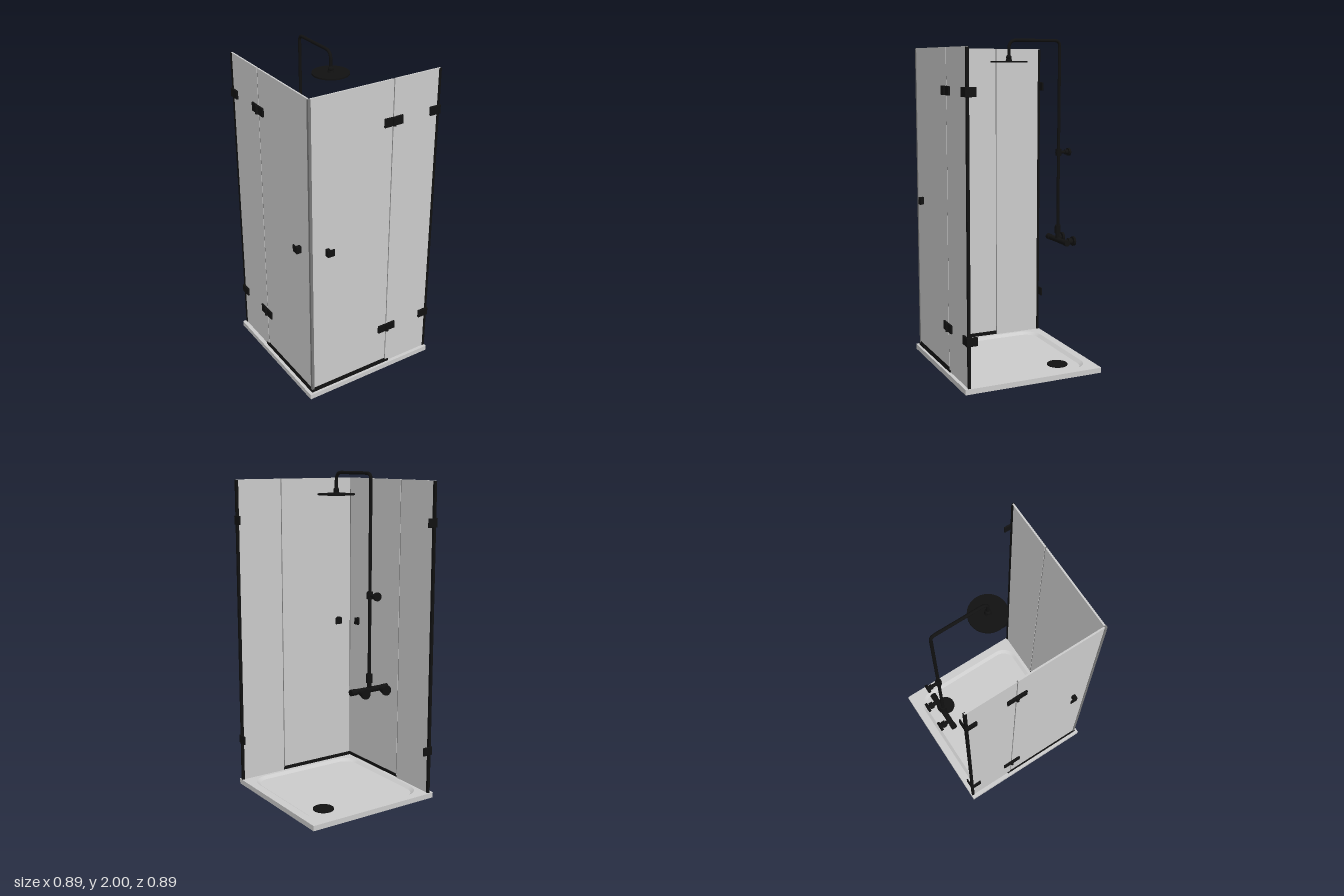
import * as THREE from 'three';
import { RoundedBoxGeometry } from 'three/addons/geometries/RoundedBoxGeometry.js';

const grey = new THREE.MeshStandardMaterial({ color: 0xcccccc, side: THREE.DoubleSide });
const black = new THREE.MeshStandardMaterial({ color: 0x111111 });
const sealGrey = new THREE.MeshStandardMaterial({ color: 0x777777 });

function add(parent, name, geometry, material = black) {
  const mesh = new THREE.Mesh(geometry, material);
  mesh.name = name;
  parent.add(mesh);
  return mesh;
}

// Box given by its extents, optionally with rounded edges
function box(parent, name, [x0, x1], [y0, y1], [z0, z1], material = black, radius = 0) {
  const size = [x1 - x0, y1 - y0, z1 - z0];
  const geometry = radius ? new RoundedBoxGeometry(...size, 2, radius) : new THREE.BoxGeometry(...size);
  const mesh = add(parent, name, geometry, material);
  mesh.position.set((x0 + x1) / 2, (y0 + y1) / 2, (z0 + z1) / 2);
  return mesh;
}

// Cylinder between two points
function rod(parent, name, a, b, radius, radiusEnd = radius) {
  const from = new THREE.Vector3(...a), to = new THREE.Vector3(...b);
  const dir = to.clone().sub(from);
  const mesh = add(parent, name, new THREE.CylinderGeometry(radiusEnd, radius, dir.length(), 32));
  mesh.position.copy(from).add(to).multiplyScalar(0.5);
  mesh.quaternion.setFromUnitVectors(new THREE.Vector3(0, 1, 0), dir.normalize());
  return mesh;
}

// Rounded square outline of half-width h
function outline(h, r, PathType = THREE.Shape) {
  const s = new PathType();
  s.moveTo(h, -h + r);
  s.lineTo(h, h - r);
  s.absarc(h - r, h - r, r, 0, Math.PI / 2);
  s.lineTo(-h + r, h);
  s.absarc(-h + r, h - r, r, Math.PI / 2, Math.PI);
  s.lineTo(-h, -h + r);
  s.absarc(-h + r, -h + r, r, Math.PI, Math.PI * 1.5);
  s.lineTo(h - r, -h);
  s.absarc(h - r, -h + r, r, Math.PI * 1.5, Math.PI * 2);
  return s;
}

// Surface between two matching outlines at different heights
function loft(lower, yLower, upper, yUpper) {
  const positions = [], index = [];
  lower.forEach((p, i) => {
    positions.push(p.x, yLower, -p.y, upper[i].x, yUpper, -upper[i].y);
    if (i < lower.length - 1) {
      const k = i * 2;
      index.push(k, k + 1, k + 2, k + 1, k + 3, k + 2);
    }
  });
  const g = new THREE.BufferGeometry();
  g.setAttribute('position', new THREE.Float32BufferAttribute(positions, 3));
  g.setIndex(index);
  g.computeVertexNormals();
  return g;
}

// Tray: hollow below, with a sloped, rounded basin
function makeTray() {
  const tray = new THREE.Group();
  tray.name = 'tray';
  tray.position.set(0.002, 0, -0.006);
  const H = 0.442, top = 0.033, floorY = 0.017;

  const skirt = outline(H, 0.003);
  skirt.holes.push(outline(H - 0.008, 0.003, THREE.Path));
  const skirtMesh = add(tray, 'traySkirt',
    new THREE.ExtrudeGeometry(skirt, { depth: top - 0.001, bevelEnabled: false }), grey);
  skirtMesh.rotation.x = -Math.PI / 2;

  const rim = outline(H, 0.003);
  rim.holes.push(outline(0.39, 0.11, THREE.Path));
  const rimMesh = add(tray, 'trayRim', new THREE.ShapeGeometry(rim), grey);
  rimMesh.rotation.x = -Math.PI / 2;
  rimMesh.position.y = top;

  const inner = outline(0.368, 0.088);
  add(tray, 'basinSlope', loft(inner.getPoints(12), floorY, outline(0.39, 0.11).getPoints(12), top), grey);
  const floor = add(tray, 'basinFloor', new THREE.ShapeGeometry(inner), grey);
  floor.rotation.x = -Math.PI / 2;
  floor.position.y = floorY;

  rod(tray, 'drainCover', [0.245, 0.012, -0.244], [0.245, 0.023, -0.244], 0.063);
  return tray;
}

// One glass wall facing +z: hinged door, fixed pane and fittings
function makeScreen(name) {
  const g = new THREE.Group();
  g.name = name;
  const glassZ = [0.405, 0.415];
  box(g, 'doorGlass', [-0.403, 0.122], [0.05, 1.945], glassZ, grey);
  box(g, 'fixedGlass', [0.128, 0.437], [0.033, 1.945], glassZ, grey);
  box(g, 'seamSeal', [0.122, 0.128], [0.05, 1.944], [0.407, 0.413], sealGrey);
  box(g, 'wallProfile', [0.426, 0.442], [0.033, 1.943], [0.402, 0.418]);
  box(g, 'threshold', [-0.421, 0.15], [0.033, 0.046], [0.412, 0.421]);
  box(g, 'dripSeal', [-0.41, 0.122], [0.045, 0.06], [0.399, 0.417]);

  for (const y of [0.308, 1.702]) {
    const h = [y - 0.027, y + 0.027];
    // Glass-to-glass hinge
    box(g, 'hingePlate', [0.062, 0.112], h, [0.415, 0.427], black, 0.004);
    box(g, 'hingePlate', [0.138, 0.187], h, [0.415, 0.427], black, 0.004);
    box(g, 'hingeBridge', [0.105, 0.145], [y - 0.024, y + 0.024], [0.415, 0.426]);
    rod(g, 'hingePin', [0.125, y - 0.026, 0.427], [0.125, y + 0.026, 0.427], 0.01);
    // Glass-to-wall bracket
    box(g, 'bracketPlate', [0.373, 0.446], h, [0.414, 0.427], black, 0.004);
    box(g, 'bracketWallPlate', [0.437, 0.446], h, [0.36, 0.427], black, 0.003);
  }

  // Knob: stem through the glass with a plate on each side
  const ky = [0.983, 1.028];
  box(g, 'knobStem', [-0.318, -0.295], ky, [0.378, 0.444], black, 0.003);
  for (const z of [0.376, 0.438]) box(g, 'knobPlate', [-0.318, -0.271], ky, [z, z + 0.008], black, 0.003);
  return g;
}

// Riser pipe, overhead rose and thermostatic bar
function makeShower() {
  const g = new THREE.Group();
  g.name = 'shower';
  const X = 0.005, Z = -0.371, headZ = -0.03, wall = -0.448, top = 1.99, r = 0.035;
  const v = (y, z) => new THREE.Vector3(X, y, z);

  const pipe = new THREE.CurvePath();
  pipe.add(new THREE.LineCurve3(v(0.75, Z), v(top - r, Z)));
  pipe.add(new THREE.QuadraticBezierCurve3(v(top - r, Z), v(top, Z), v(top, Z + r)));
  pipe.add(new THREE.LineCurve3(v(top, Z + r), v(top, headZ - 0.05)));
  pipe.add(new THREE.QuadraticBezierCurve3(v(top, headZ - 0.05), v(top, headZ), v(top - 0.05, headZ)));
  pipe.add(new THREE.LineCurve3(v(top - 0.05, headZ), v(1.87, headZ)));
  add(g, 'riserPipe', new THREE.TubeGeometry(pipe, 240, 0.0095, 16, false));

  // Overhead rose
  rod(g, 'roseDisc', [X, 1.858, headZ], [X, 1.867, headZ], 0.11);
  rod(g, 'roseCollar', [X, 1.867, headZ], [X, 1.88, headZ], 0.02, 0.016);
  add(g, 'roseJoint', new THREE.SphereGeometry(0.017, 24, 16)).position.set(X, 1.888, headZ);

  // Wall holder
  rod(g, 'holderFlange', [X, 1.305, wall], [X, 1.305, wall + 0.014], 0.025);
  rod(g, 'holderNut', [X, 1.305, wall + 0.014], [X, 1.305, wall + 0.035], 0.015);
  rod(g, 'holderStem', [X, 1.305, wall + 0.03], [X, 1.305, Z + 0.018], 0.01);
  rod(g, 'holderClamp', [X, 1.284, Z], [X, 1.326, Z], 0.018);

  // Thermostatic bar with end knobs
  const barY = 0.747;
  rod(g, 'mixerBar', [-0.095, barY, Z], [0.107, barY, Z], 0.017);
  rod(g, 'flowKnob', [-0.125, barY, Z], [-0.092, barY, Z], 0.019);
  rod(g, 'temperatureKnob', [0.104, barY, Z], [0.137, barY, Z], 0.019);
  rod(g, 'riserSocket', [X, 0.76, Z], [X, 0.79, Z], 0.013);
  rod(g, 'riserNut', [X, 0.79, Z], [X, 0.842, Z], 0.019);
  for (const x of [-0.068, 0.08]) {
    rod(g, 'inletFlange', [x, barY, wall], [x, barY, wall + 0.014], 0.03);
    rod(g, 'inletNeck', [x, barY, wall + 0.014], [x, barY, Z], 0.013);
    rod(g, 'inletNut', [x, barY, wall + 0.02], [x, barY, wall + 0.045], 0.021);
  }
  return g;
}

export function createModel() {
  const model = new THREE.Group();
  model.name = 'showerCubicle';
  model.add(makeTray(), makeShower(), makeScreen('frontScreen'));

  // Side wall mirrors the front wall across the corner diagonal
  const side = makeScreen('sideScreen');
  side.scale.x = -1;
  side.rotation.y = -Math.PI / 2;
  model.add(side);

  // Magnetic seal where the two doors meet
  box(model, 'cornerSeal', [-0.418, -0.402], [0.05, 1.944], [0.402, 0.418], sealGrey);
  return model;
}
